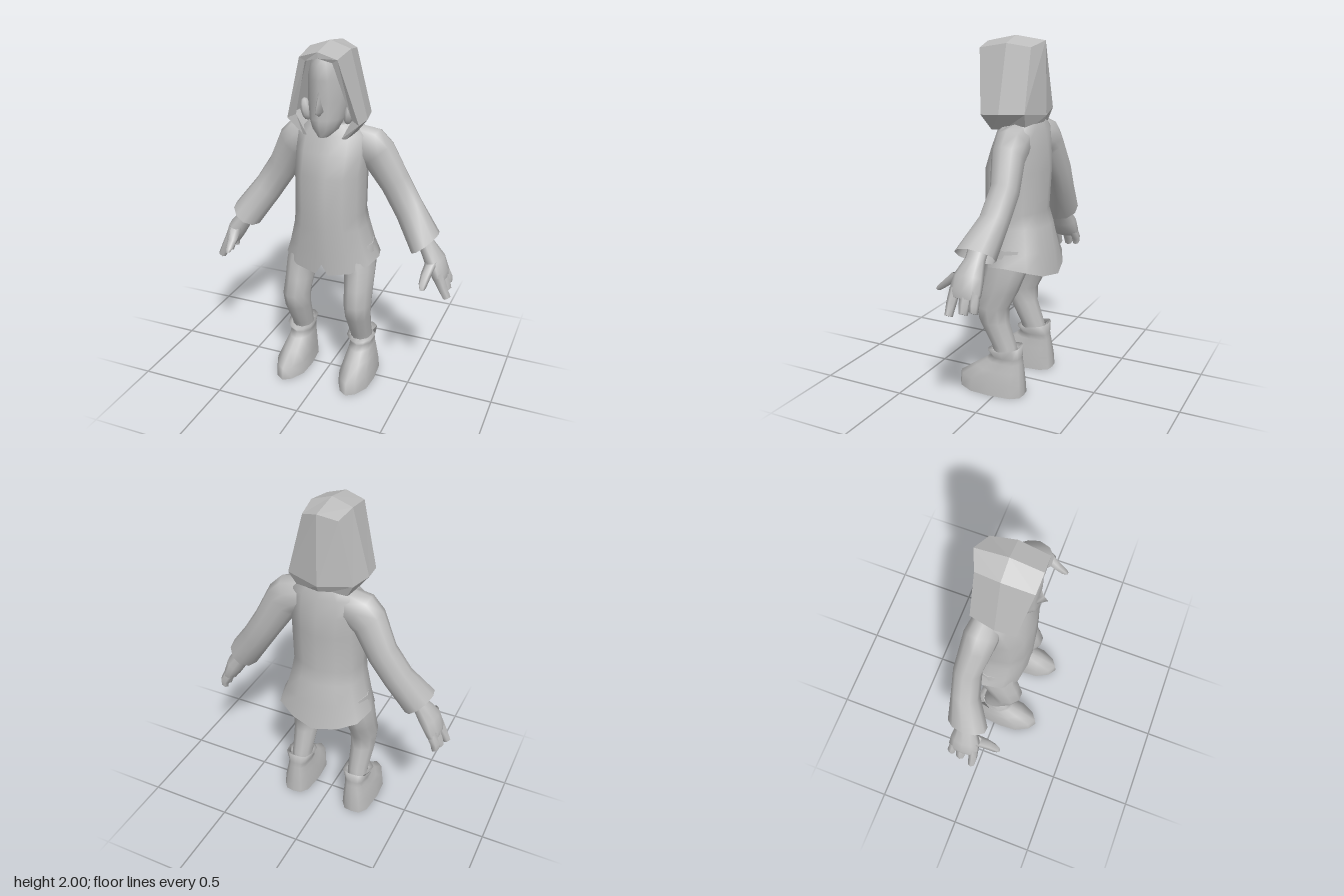
import * as THREE from 'three';

const grey = new THREE.MeshStandardMaterial({ color: 0xbcbcbc, side: THREE.DoubleSide });
grey.name = 'plain grey';
const greyFaceted = grey; // one colour throughout

function mesh(name, geometry) {
  const m = new THREE.Mesh(geometry, grey);
  m.name = name;
  return m;
}

// Surface through rings of points; closed around, optionally capped at the ends
function loft(rings, { closed = true, start = false, end = false, flat = false } = {}) {
  const n = rings[0].length, pos = rings.flat(2), idx = [];
  for (let r = 0; r < rings.length - 1; r++) {
    for (let i = 0; i < (closed ? n : n - 1); i++) {
      const j = (i + 1) % n, a = r * n, b = a + n;
      idx.push(a + i, a + j, b + j, a + i, b + j, b + i);
    }
  }
  const cap = (ring, flip) => {
    const base = pos.length / 3;
    const mid = [0, 1, 2].map(k => ring.reduce((s, p) => s + p[k], 0) / n);
    pos.push(...ring.flat(), ...mid);
    for (let i = 0; i < n; i++) {
      const j = (i + 1) % n;
      idx.push(base + n, base + (flip ? j : i), base + (flip ? i : j));
    }
  };
  if (start) cap(rings[0], true);
  if (end) cap(rings[rings.length - 1], false);
  let g = new THREE.BufferGeometry();
  g.setAttribute('position', new THREE.Float32BufferAttribute(pos, 3));
  g.setIndex(idx);
  if (flat) g = g.toNonIndexed();
  g.computeVertexNormals();
  return g;
}

// Elliptical ring around an axis lying in the xy plane (angle in degrees)
function ring([x, y, z], axis, ru, rz, n = 10) {
  const a = (axis - 90) * Math.PI / 180;
  return Array.from({ length: n }, (_, i) => {
    const t = i / n * Math.PI * 2, u = Math.cos(t) * ru;
    return [x + Math.cos(a) * u, y + Math.sin(a) * u, z - Math.sin(t) * rz];
  });
}

// Level ring made from a half outline [x, z] mirrored about its own middle
function level(shape, y, cx, w, front, back, lift = () => 0) {
  const full = [...shape, ...shape.slice(1, -1).reverse().map(([x, z]) => [-x, z])];
  return full.map(([x, z]) => [
    cx + x * w, y + lift(x, z), (front + back) / 2 + z * (front - back) / 2]);
}

const BODY = [[0, 1], [0.14, 0.99], [0.6, 0.9], [0.92, 0.55], [1, 0], [0.88, -0.6], [0.5, -0.84], [0, -1]];
const FACE = [[0, 1], [0.45, 0.9], [0.85, 0.5], [1, 0], [0.8, -0.65], [0.4, -0.92], [0, -1]];
const BOOT = [[0, 1], [0.5, 0.84], [0.93, 0.45], [1, -0.1], [0.85, -0.75], [0.5, -0.97], [0, -1]];

function tunic() {
  const hem = (x, z) => (z > 0.995 ? 0.065 : 0) + 0.08 * Math.pow(Math.abs(x), 2);
  return mesh('tunic', loft([
    level(BODY, 0.69, 0, 0.277, 0.135, -0.265, hem),
    level(BODY, 0.84, 0, 0.245, 0.142, -0.24),
    level(BODY, 0.97, 0, 0.21, 0.147, -0.215),
    level(BODY, 1.05, 0, 0.2, 0.148, -0.19),
    level(BODY, 1.28, 0, 0.2, 0.148, -0.205),
    level(BODY, 1.4, 0, 0.205, 0.105, -0.195),
    level(BODY, 1.5, 0, 0.2, 0.065, -0.18),
    level(BODY, 1.56, 0, 0.13, 0.035, -0.16),
  ], { end: true }));
}

function arm() {
  const g = new THREE.Group();
  g.name = 'arm';
  g.add(mesh('sleeve', loft([
    ring([0.12, 1.46, -0.07], -20, 0.09, 0.08),
    ring([0.2, 1.43, -0.075], -32, 0.115, 0.095),
    ring([0.255, 1.385, -0.08], -48, 0.105, 0.09),
    ring([0.345, 1.225, -0.105], -52, 0.09, 0.078),
    ring([0.435, 1.085, -0.09], -52, 0.088, 0.08),
    ring([0.552, 0.92, -0.04], -50, 0.094, 0.115),
  ])));
  g.add(mesh('palm', loft([
    ring([0.5, 1.0, -0.05], -52, 0.045, 0.055),
    ring([0.56, 0.905, -0.045], -55, 0.045, 0.055),
    ring([0.615, 0.825, -0.035], -60, 0.056, 0.085),
    ring([0.648, 0.755, -0.035], -64, 0.045, 0.09),
    ring([0.662, 0.725, -0.035], -64, 0.03, 0.08),
  ], { end: true })));
  // Fingers: z position, half width, tip x, tip y
  for (const [z, w, x, y] of [[0.03, 0.026, 0.708, 0.64], [-0.045, 0.03, 0.692, 0.655], [-0.1, 0.026, 0.682, 0.665]]) {
    g.add(mesh('finger', loft([
      ring([0.642, 0.77, z * 0.9], -62, 0.034, w, 6),
      ring([0.678, 0.7, z], -62, 0.028, w, 6),
      ring([x, y, z], -62, 0.024, w * 0.8, 6),
    ], { end: true })));
  }
  g.add(mesh('thumb', loft([
    ring([0.608, 0.84, 0.02], -80, 0.035, 0.04, 6),
    ring([0.598, 0.79, 0.08], -90, 0.03, 0.036, 6),
    ring([0.595, 0.75, 0.13], -95, 0.024, 0.03, 6),
    ring([0.597, 0.73, 0.15], -95, 0.015, 0.018, 6),
  ], { end: true })));
  return g;
}

function leg() {
  const g = new THREE.Group();
  g.name = 'leg';
  g.add(mesh('trouser', loft([
    ring([0.19, 0.2, -0.035], 90, 0.06, 0.065),
    ring([0.19, 0.28, -0.02], 90, 0.062, 0.075),
    ring([0.192, 0.42, 0.042], 90, 0.074, 0.088),
    ring([0.192, 0.51, 0.052], 90, 0.08, 0.1),
    ring([0.185, 0.61, 0.015], 90, 0.083, 0.115),
    ring([0.18, 0.72, -0.02], 90, 0.088, 0.125),
    ring([0.13, 0.86, -0.045], 90, 0.115, 0.13),
  ], { end: true })));
  const cuffLift = (x, z) => -z * 0.02;
  g.add(mesh('boot', loft([
    level(BOOT, 0, 0.203, 0.096, 0.265, -0.15),
    level(BOOT, 0.075, 0.202, 0.09, 0.258, -0.145),
    level(BOOT, 0.14, 0.198, 0.077, 0.165, -0.137),
    level(BOOT, 0.19, 0.195, 0.066, 0.09, -0.13),
    level(BOOT, 0.22, 0.194, 0.065, 0.06, -0.125),
    level(BOOT, 0.268, 0.194, 0.083, 0.08, -0.125, cuffLift),
    level(BOOT, 0.255, 0.192, 0.06, 0.04, -0.1),
  ], { start: true })));
  return g;
}

function head() {
  const g = new THREE.Group();
  g.name = 'head';
  g.add(mesh('face', loft([
    level(FACE, 1.508, 0, 0.03, 0.135, 0.05),
    level(FACE, 1.545, 0, 0.07, 0.152, -0.04),
    level(FACE, 1.585, 0, 0.088, 0.163, -0.09),
    level(FACE, 1.605, 0, 0.094, 0.158, -0.1),
    level(FACE, 1.7, 0, 0.108, 0.16, -0.13),
    level(FACE, 1.82, 0, 0.105, 0.168, -0.13),
    level(FACE, 1.9, 0, 0.085, 0.165, -0.12),
    level(FACE, 1.945, 0, 0.05, 0.13, -0.08),
  ], { start: true, end: true })));
  g.add(mesh('neck', loft([
    ring([0, 1.46, -0.05], 90, 0.085, 0.08),
    ring([0, 1.62, -0.02], 90, 0.075, 0.075),
  ])));
  // Nose bridge, tip and underside
  g.add(mesh('nose', loft([
    [[0.026, 1.635, 0.145], [0, 1.63, 0.16], [-0.026, 1.635, 0.145]],
    [[0.026, 1.655, 0.15], [0, 1.66, 0.202], [-0.026, 1.655, 0.15]],
    [[0.014, 1.7, 0.155], [0, 1.7, 0.18], [-0.014, 1.7, 0.155]],
    [[0.01, 1.76, 0.155], [0, 1.76, 0.165], [-0.01, 1.76, 0.155]],
  ].map(r => r.reverse()))));
  for (const s of [1, -1]) {
    const ear = mesh('ear', new THREE.SphereGeometry(1, 8, 6));
    ear.scale.set(0.028, 0.062, 0.04);
    ear.position.set(s * 0.125, 1.63, 0.04);
    ear.rotation.z = -s * 0.2;
    g.add(ear);
  }
  return g;
}

function hair() {
  const g = new THREE.Group();
  g.name = 'hair';
  const mirror = row => [...row, ...row.slice(0, -1).reverse().map(([x, y, z]) => [-x, y, z])];
  // Columns run from the front edge round to the centre of the back
  const brow = [0.075, 1.915, 0.158];
  const crown = [[0.105, 1.935, 0.165], [0.115, 1.962, 0], [0.098, 1.942, -0.135]];
  const ends = [
    [[0.1, 1.5, 0.09], [0.125, 1.5, 0.085], [0.145, 1.51, 0], [0.13, 1.5, -0.12], [0, 1.52, -0.155]],
    [[0.16, 1.61, 0.095], [0.205, 1.59, 0.11], [0.213, 1.595, 0], [0.185, 1.6, -0.14], [0, 1.58, -0.185]],
    [brow, ...crown, [0, 1.975, -0.175]],
  ];
  g.add(mesh('hairSides', loft(ends.map(mirror), { closed: false, flat: true })));
  // Roof-shaped crown with a centre ridge
  const ridge = [[0, 1.967, 0.17], [0, 2, 0], [0, 1.975, -0.175]];
  const roof = crown.map((p, i) => [[-p[0], p[1], p[2]], ridge[i], p]);
  g.add(mesh('hairCrown', loft(roof, { closed: false, flat: true })));
  // Fringe edge above the forehead
  g.add(mesh('fringe', loft([
    [[-brow[0], brow[1], brow[2]], [0, 1.935, 0.17], brow], roof[0],
  ], { closed: false, flat: true })));
  return g;
}

export function createModel() {
  const model = new THREE.Group();
  model.name = 'figure';
  model.add(tunic(), head(), hair());
  for (const make of [arm, leg]) {
    const left = make(), right = make();
    left.name = 'left ' + left.name;
    right.name = 'right ' + right.name;
    right.scale.x = -1;
    model.add(left, right);
  }
  return model;
}
